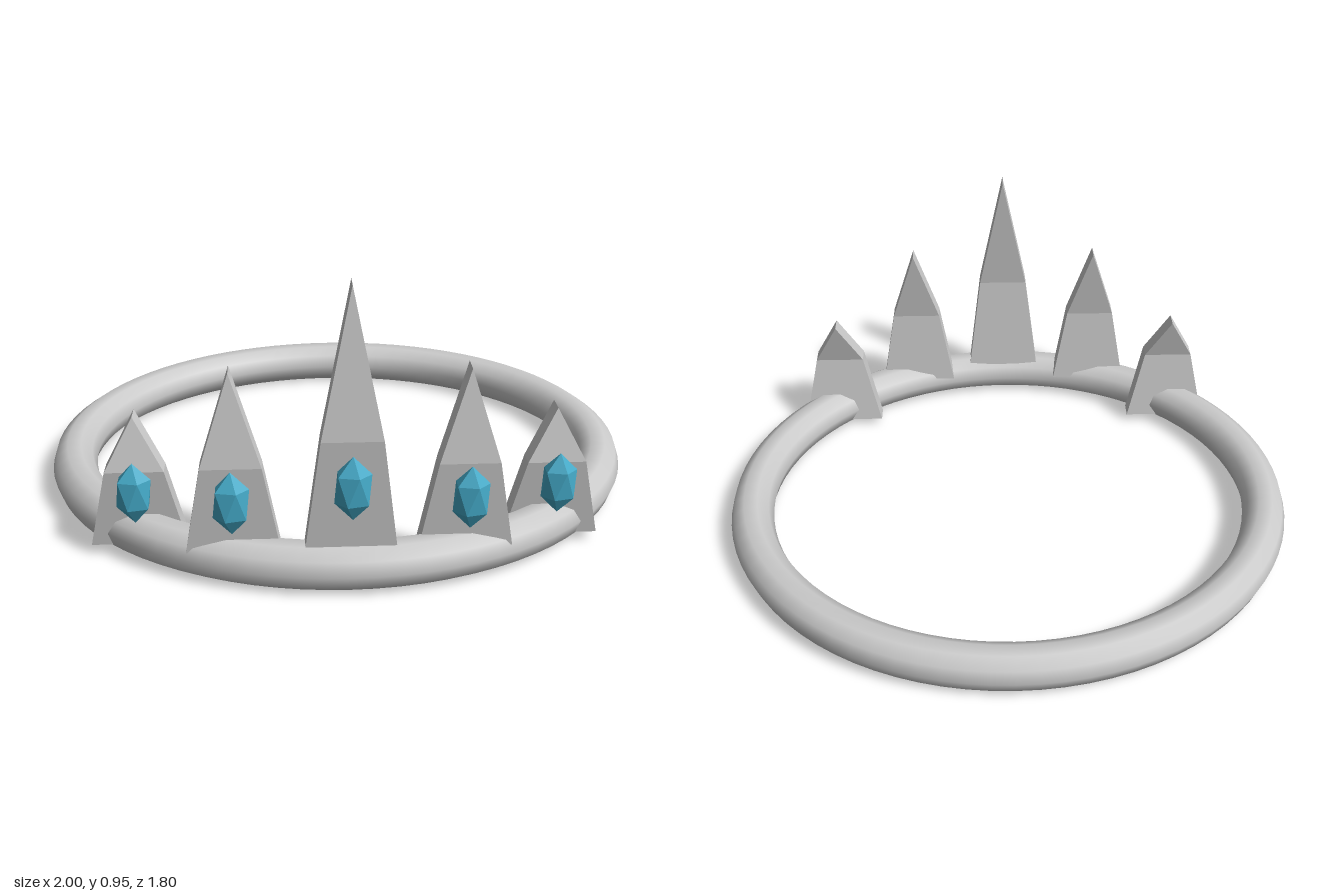
import * as THREE from 'three';
import { mergeVertices } from 'three/addons/utils/BufferGeometryUtils.js';
import { ConvexGeometry } from 'three/addons/geometries/ConvexGeometry.js';

const metal = new THREE.MeshStandardMaterial({ color: 0xcccccc });
const metalFlat = new THREE.MeshStandardMaterial({ color: 0xcccccc, flatShading: true });
const jewel = new THREE.MeshStandardMaterial({ color: 0x44aac8, flatShading: true });

function addMesh(parent, name, geometry, material) {
  const mesh = new THREE.Mesh(geometry, material);
  mesh.name = name;
  parent.add(mesh);
  return mesh;
}

// Oval band: a torus whose centre line is moved onto an ellipse, keeping the tube round
function bandGeometry(a, b, r) {
  let geo = new THREE.TorusGeometry(1, r, 10, 80).rotateX(Math.PI / 2);
  const pos = geo.attributes.position;
  for (let i = 0; i < pos.count; i++) {
    const x = pos.getX(i), z = pos.getZ(i);
    const offset = Math.hypot(x, z) - 1;
    const u = Math.atan2(z, x);
    const n = new THREE.Vector2(Math.cos(u) / a, Math.sin(u) / b).normalize();
    pos.setX(i, a * Math.cos(u) + n.x * offset);
    pos.setZ(i, b * Math.sin(u) + n.y * offset);
  }
  geo.deleteAttribute('uv');
  geo.deleteAttribute('normal');
  geo = mergeVertices(geo, 1e-5);
  geo.computeVertexNormals();
  return geo;
}

// Pointed plate of even thickness, bent forward at the shoulders
function spikeGeometry({ half, base, shoulder, tip }) {
  const depth = 0.06;
  const [baseY, baseZ] = base, [midY, midZ] = shoulder, [tipY, tipZ] = tip;
  const outline = [
    [-half, baseY, baseZ], [half, baseY, baseZ],
    [0.09, midY, midZ], [0, tipY, tipZ], [-0.09, midY, midZ],
  ];
  const points = [...outline, ...outline.map(([x, y, z]) => [x, y, z - depth])];
  const index = [];
  for (const [a, b, c] of [[0, 1, 2], [0, 2, 4], [4, 2, 3]]) {
    index.push(a, b, c, a + 5, c + 5, b + 5);
  }
  for (let i = 0; i < 5; i++) {
    const j = (i + 1) % 5;
    index.push(i, i + 5, j + 5, i, j + 5, j);
  }
  const geo = new THREE.BufferGeometry();
  geo.setAttribute('position', new THREE.Float32BufferAttribute(points.flat(), 3));
  geo.setIndex(index);
  const flat = geo.toNonIndexed();
  flat.computeVertexNormals();
  return flat;
}

// Faceted stone: a stretched icosahedron standing on its point
function gemGeometry() {
  const points = [new THREE.Vector3(0, 0.1, 0), new THREE.Vector3(0, -0.1, 0)];
  for (let i = 0; i < 5; i++) {
    const t = (i * Math.PI * 2) / 5;
    const x = 0.894 * Math.cos(t) * 0.06, z = 0.894 * Math.sin(t) * 0.04;
    points.push(new THREE.Vector3(x, 0.0447, z), new THREE.Vector3(-x, -0.0447, z));
  }
  return new ConvexGeometry(points);
}

export function createModel() {
  const model = new THREE.Group();
  model.name = 'tiara';

  const band = addMesh(model, 'band', bandGeometry(0.925, 0.807, 0.075), metal);
  band.position.set(0, 0.0745, -0.019);

  // [height, front z] at the base, shoulder and tip of each spike
  const spikes = [
    { name: 'centre', x: 0, half: 0.138, base: [0.12, 0.8], shoulder: [0.5, 0.836], tip: [0.95, 0.797], gem: [0.37, 0.865] },
    { name: 'middle', x: 0.347, half: 0.142, base: [0.1, 0.742], shoulder: [0.39, 0.77], tip: [0.675, 0.737], gem: [0.3, 0.806] },
    { name: 'outer', x: 0.646, half: 0.15, base: [0.033, 0.565], shoulder: [0.3, 0.6], tip: [0.468, 0.565], gem: [0.248, 0.634] },
  ];
  const gemShape = gemGeometry();
  for (const s of spikes) {
    const shape = spikeGeometry(s);
    for (const side of s.x ? [1, -1] : [1]) {
      const label = s.x ? s.name + (side > 0 ? 'Left' : 'Right') : s.name;
      addMesh(model, label + 'Spike', shape, metalFlat).position.x = side * s.x;
      addMesh(model, label + 'Gem', gemShape, jewel).position.set(side * s.x, ...s.gem);
    }
  }
  return model;
}
